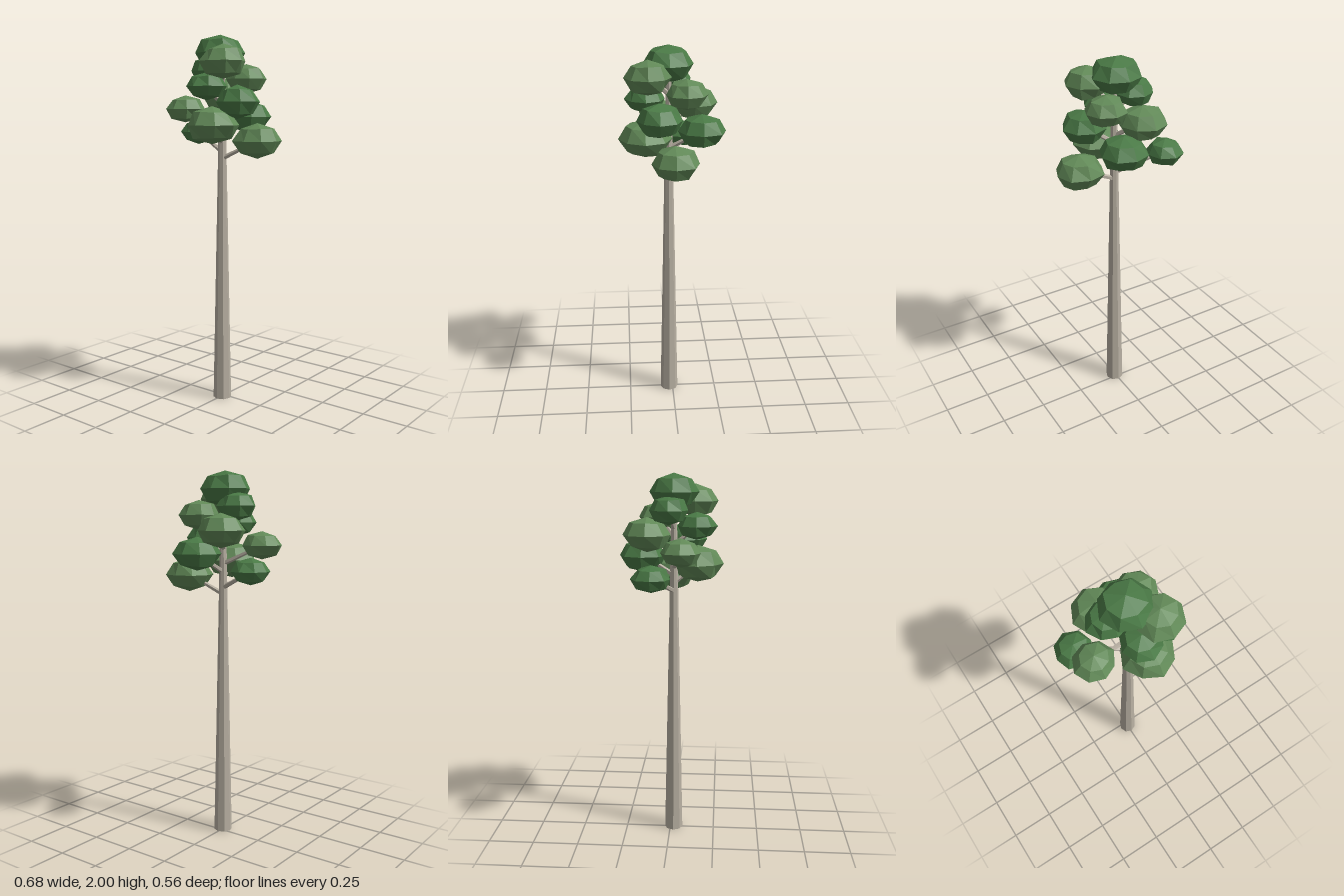
import * as THREE from 'three';

const material = (color) => new THREE.MeshStandardMaterial({ color, flatShading: true });
const bark = material(0xb8b0a2);
const leafLight = material(0x628a58);
const leafDark = material(0x4a7a46);

const TRUNK_Z = 0.02;

// Crown clumps: centre x, y, z, horizontal radius, vertical radius, light or dark
const CLUMPS = [
  [-0.01, 1.905, 0.02, 0.138, 0.095, 0],
  [0.095, 1.855, 0.13, 0.122, 0.088, 1],
  [-0.1, 1.815, 0, 0.106, 0.075, 0],
  [0.1, 1.77, -0.065, 0.11, 0.078, 1],
  [-0.005, 1.73, 0.14, 0.11, 0.072, 0],
  [-0.08, 1.69, -0.115, 0.13, 0.09, 1],
  [0.145, 1.65, 0.075, 0.118, 0.088, 0],
  [-0.215, 1.613, 0.068, 0.106, 0.073, 1],
  [0.048, 1.57, -0.15, 0.132, 0.088, 0],
  [0.035, 1.53, 0.145, 0.14, 0.098, 1],
  [-0.245, 1.485, -0.08, 0.104, 0.07, 0],
  [0.22, 1.448, 0, 0.13, 0.093, 1],
];

// Repeatable value in 0..1 from a point, so coincident vertices move together
function hash(x, y, z, seed) {
  const s = Math.sin(x * 12.99 + y * 78.23 + z * 37.72 + seed * 9.17) * 437.58;
  return s - Math.floor(s);
}

// Flattened, slightly irregular low-poly ball
function clumpGeometry(radius, height, seed) {
  const geometry = new THREE.SphereGeometry(1, 8, 4);
  const p = geometry.attributes.position;
  const round = (v) => Math.round(v * 100) / 100 + 0;
  for (let i = 0; i < p.count; i++) {
    const x = p.getX(i), y = p.getY(i), z = p.getZ(i);
    const k = 0.91 + 0.13 * hash(round(x), round(y), round(z), seed);
    const ky = Math.abs(y) > 0.99 ? 1 : k;
    p.setXYZ(i, x * k * radius, y * ky * height, z * k * radius);
  }
  geometry.computeVertexNormals();
  return geometry;
}

// Tapered limb between two points
function limb(name, from, to, r0, r1, sides) {
  const dir = to.clone().sub(from);
  const mesh = new THREE.Mesh(new THREE.CylinderGeometry(r1, r0, dir.length(), sides), bark);
  mesh.position.copy(from).add(to).multiplyScalar(0.5);
  mesh.quaternion.setFromUnitVectors(new THREE.Vector3(0, 1, 0), dir.normalize());
  mesh.name = name;
  return mesh;
}

export function createModel() {
  const tree = new THREE.Group();
  tree.name = 'tree';

  // Tall tapered trunk
  tree.add(limb('trunk', new THREE.Vector3(0.003, 0, TRUNK_Z),
    new THREE.Vector3(0.003, 1.84, TRUNK_Z), 0.05, 0.014, 8));

  const branches = new THREE.Group();
  branches.name = 'branches';
  const crown = new THREE.Group();
  crown.name = 'crown';
  CLUMPS.forEach(([x, y, z, radius, height, light], i) => {
    const clump = new THREE.Mesh(clumpGeometry(radius, height, i + 1), light ? leafLight : leafDark);
    clump.position.set(x, y, z);
    clump.name = 'leafClump';
    crown.add(clump);
    // Each side clump sits on a branch rising from the trunk
    if (i > 0) {
      branches.add(limb('branch', new THREE.Vector3(0.003, y - 0.1, TRUNK_Z),
        new THREE.Vector3(x, y, z), 0.014, 0.008, 5));
    }
  });
  tree.add(branches, crown);
  return tree;
}
